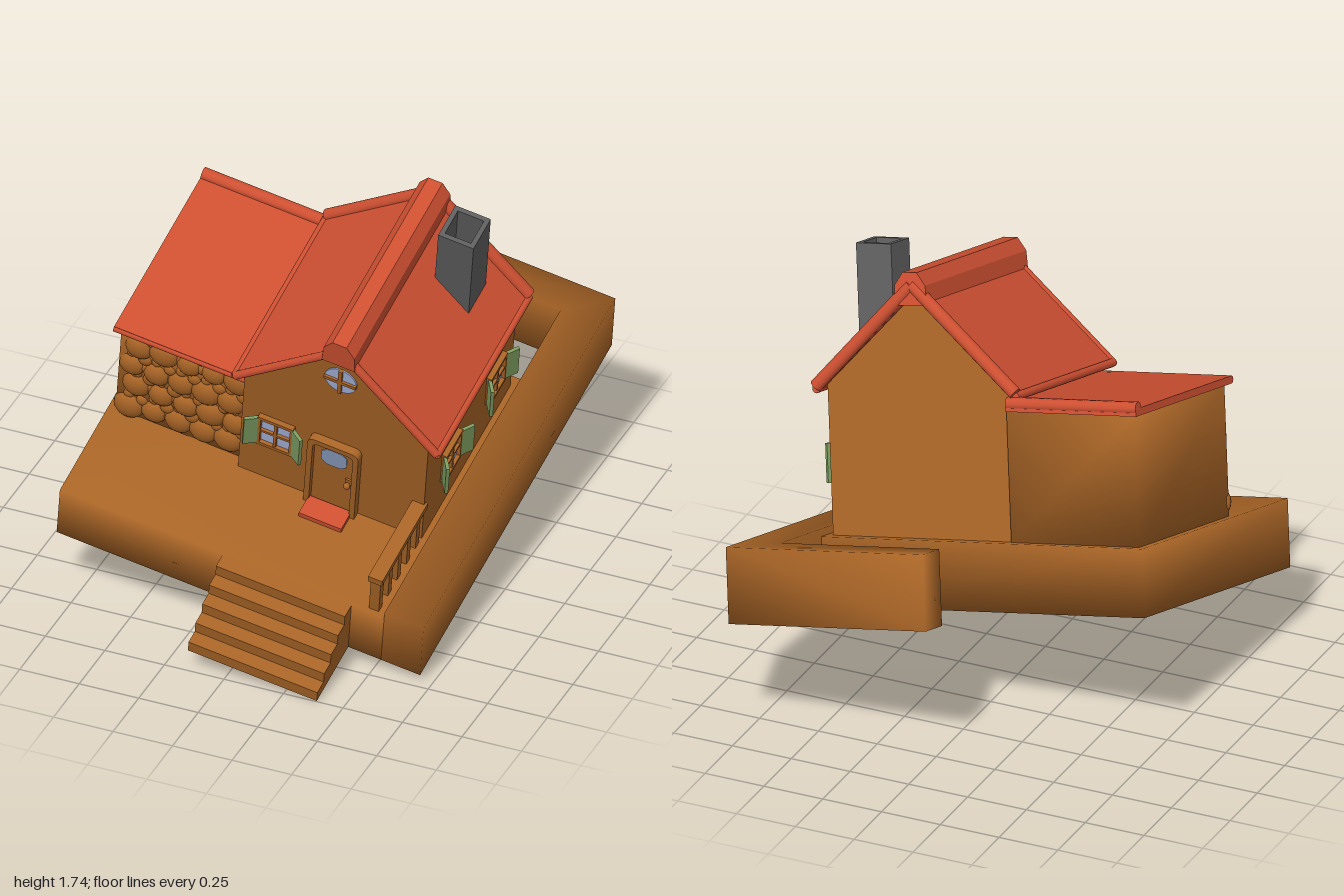
import * as THREE from 'three';
import { mergeVertices } from 'three/addons/utils/BufferGeometryUtils.js';

const mat = (name, color, side = THREE.FrontSide) =>
  Object.assign(new THREE.MeshStandardMaterial({ color, side }), { name });

export function createModel() {
  const wood = mat('brown', 0xa86426);
  const red = mat('roofRed', 0xcf5032);
  const grey = mat('chimneyGrey', 0x5e5e5e);
  const green = mat('shutterGreen', 0x7d9c60);
  const glass = mat('glass', 0xa6b5dd);
  const doorGlass = mat('doorGlass', 0x8a9cbe);

  const root = new THREE.Group();
  root.name = 'cottage';
  // The whole cottage is tipped forwards and to one side
  const X = new THREE.Vector3(0.984, -0.175, -0.011).normalize();
  const Z = new THREE.Vector3(-0.034, -0.28, 0.959);
  Z.addScaledVector(X, -Z.dot(X)).normalize();
  const Y = new THREE.Vector3().crossVectors(Z, X);
  const house = new THREE.Group();
  house.name = 'tippedCottage';
  house.quaternion.setFromRotationMatrix(new THREE.Matrix4().makeBasis(X, Y, Z));
  house.position.set(0.0595, 0.328, 0.098);
  root.add(house);

  // Helpers
  const add = (name, geo, material, x = 0, y = 0, z = 0, parent = house) => {
    const m = new THREE.Mesh(geo, material);
    m.name = name;
    m.position.set(x, y, z);
    parent.add(m);
    return m;
  };
  const soft = (g) => {
    g.deleteAttribute('normal');
    g.deleteAttribute('uv');
    const s = mergeVertices(g, 1e-4);
    s.computeVertexNormals();
    return s;
  };
  const box = (name, material, x0, x1, y0, y1, z0, z1, smooth = false, parent = house) => {
    const g = new THREE.BoxGeometry(x1 - x0, y1 - y0, z1 - z0);
    return add(name, smooth ? soft(g) : g, material, (x0 + x1) / 2, (y0 + y1) / 2, (z0 + z1) / 2, parent);
  };
  const shapeOf = (pts) => new THREE.Shape(pts.map((p) => new THREE.Vector2(...p)));
  const extrude = (shape, depth) => new THREE.ExtrudeGeometry(shape, { depth, bevelEnabled: false, curveSegments: 6 });
  const roll = (name, a, b, r, material = red) => {
    const A = new THREE.Vector3(...a), B = new THREE.Vector3(...b), d = B.clone().sub(A);
    const m = add(name, new THREE.CylinderGeometry(r, r, d.length(), 10), material, ...A.clone().add(B).multiplyScalar(0.5).toArray());
    m.quaternion.setFromUnitVectors(new THREE.Vector3(0, 1, 0), d.normalize());
  };

  // Ground slab and the L-shaped bank that runs round the back
  const deck = 0.27;
  box('platform', wood, -0.867, 0.51, 0, deck, -0.633, 0.648, true);
  const bank = soft(extrude(shapeOf([[0.51, -0.648], [0.676, -0.648], [0.676, 1.13], [-0.17, 1.13], [-0.17, 0.985], [0.51, 0.985]]), 0.3));
  add('bank', bank, wood).rotation.x = -Math.PI / 2;

  // Front steps
  const stair = [[-0.64, 0]];
  const n = 5;
  for (let i = 0; i < n; i++) {
    const z = -0.94 + (i * 0.29) / n;
    stair.push([z, (i * 0.265) / n], [z, ((i + 1) * 0.265) / n]);
  }
  stair.push([-0.64, 0.265]);
  const steps = shapeOf(stair.filter((p, i) => i !== 1 || p[1] === 0));
  add('steps', extrude(steps, 0.547), wood, -0.176).rotation.y = Math.PI / 2;

  // Main house with gable, and the lower wing
  const cx = 0.093;
  add('mainWalls', extrude(shapeOf([[-0.3, deck], [0.48, deck], [0.48, 0.86], [cx, 1.225], [-0.3, 0.86]]), 0.825), wood, 0, 0, -0.59);
  box('wingWalls', wood, -0.84, -0.29, deck, 0.79, -0.6, 0.19, true);

  // Rounded stones covering the wing front
  let seed = 7;
  const rnd = () => (seed = (seed * 16807) % 2147483647) / 2147483647;
  const ball = new THREE.SphereGeometry(1, 14, 10);
  const stones = new THREE.Group();
  stones.name = 'stoneWall';
  house.add(stones);
  const stone = (x, y, r) => add('stone', ball, wood, x, y, 0.19, stones).scale.set(r, r, r * 0.6);
  for (let row = 0; row < 4; row++) {
    for (let i = 0; i < 5; i++) {
      const x = -0.785 + i * 0.105 + (row % 2) * 0.025, y = 0.325 + row * 0.125 + rnd() * 0.03;
      stone(x, y, 0.048 + rnd() * 0.018);
      stone(x + 0.052, y + 0.055, 0.022 + rnd() * 0.01);
      stone(x + 0.055, y + 0.005, 0.017 + rnd() * 0.008);
      stone(x - 0.005, y + 0.068, 0.016 + rnd() * 0.008);
    }
  }

  // Main roof with rolled edges and ridge cap
  const zb = -0.61, zf = 0.25, xl = -0.335, xr = 0.52, ye = 0.855, yr = 1.265;
  add('mainRoof', extrude(shapeOf([[xl, ye], [xl, ye - 0.03], [cx, yr - 0.035], [xr, ye - 0.03], [xr, ye], [cx, yr]]), zf - zb), red, 0, 0, zb);
  for (const x of [xl, xr]) {
    roll('eaveRoll', [x, ye - 0.012, zb], [x, ye - 0.012, zf], 0.017);
    roll('backEdgeRoll', [x, ye, zb], [cx, yr, zb], 0.026);
    roll('frontEdgeRoll', [x, ye - 0.012, zf - 0.005], [cx, yr - 0.012, zf - 0.005], 0.017);
  }
  const cap = [[-0.07, -0.08], [0.07, -0.08], [0.065, 0], [0.03, 0.05], [-0.03, 0.05], [-0.065, 0]];
  add('ridgeCap', extrude(shapeOf(cap), zf - zb + 0.03), red, cx, yr, zb - 0.015);

  // Flat wing roof
  box('wingRoof', red, -0.86, -0.3, 0.785, 0.815, -0.626, 0.22);
  roll('wingBackRoll', [-0.86, 0.815, -0.605], [-0.3, 0.815, -0.605], 0.026);
  roll('wingFrontRoll', [-0.86, 0.8, 0.215], [-0.3, 0.8, 0.215], 0.014);

  // Hollow chimney
  const stack = shapeOf([[-0.075, -0.08], [0.075, -0.08], [0.075, 0.08], [-0.075, 0.08]]);
  stack.holes.push(new THREE.Path([[-0.055, -0.06], [-0.055, 0.06], [0.055, 0.06], [0.055, -0.06]].map((p) => new THREE.Vector2(...p))));
  add('chimney', extrude(stack, 0.45), grey, 0.31, 0.95, -0.41).rotation.x = -Math.PI / 2;

  // Shuttered windows
  const shutteredWindow = (x, y, z, turn) => {
    const g = new THREE.Group();
    g.name = 'window';
    g.position.set(x, y, z);
    g.rotation.y = turn;
    house.add(g);
    box('pane', glass, -0.065, 0.065, -0.075, 0.075, 0, 0.006, false, g);
    box('mullion', wood, -0.006, 0.006, -0.075, 0.075, 0, 0.018, false, g);
    box('transom', wood, -0.065, 0.065, -0.006, 0.006, 0, 0.018, false, g);
    for (const s of [-1, 1]) {
      box('frameRail', wood, -0.075, 0.075, s * 0.077 - 0.008, s * 0.077 + 0.008, 0, 0.022, false, g);
      box('frameStile', wood, s * 0.068 - 0.006, s * 0.068 + 0.006, -0.075, 0.075, 0, 0.022, false, g);
      const shutter = add('shutter', new THREE.BoxGeometry(0.062, 0.155, 0.014), green, s * 0.096, 0, 0.03, g);
      shutter.rotation.y = -s * 0.6;
    }
  };
  const wallZ = 0.235;
  shutteredWindow(-0.15, 0.572, wallZ, 0);
  shutteredWindow(0.48, 0.54, 0.01, Math.PI / 2);
  shutteredWindow(0.48, 0.54, -0.405, Math.PI / 2);

  // Round gable window
  add('roundPane', new THREE.CylinderGeometry(0.068, 0.068, 0.008, 24), glass, 0.099, 1.06, wallZ + 0.002).rotation.x = Math.PI / 2;
  box('roundMullion', wood, 0.091, 0.107, 0.992, 1.128, wallZ, wallZ + 0.016);
  box('roundTransom', wood, 0.031, 0.167, 1.052, 1.068, wallZ, wallZ + 0.016);

  // Door with arched-corner frame
  const arch = (Cls, w, h, r) => {
    const s = new Cls();
    s.moveTo(-w, 0);
    s.lineTo(w, 0);
    s.lineTo(w, h - r);
    s.quadraticCurveTo(w, h, w - r, h);
    s.lineTo(-w + r, h);
    s.quadraticCurveTo(-w, h, -w, h - r);
    s.closePath();
    return s;
  };
  const frame = arch(THREE.Shape, 0.108, 0.4, 0.035);
  frame.holes.push(arch(THREE.Path, 0.085, 0.375, 0.025));
  add('doorFrame', extrude(frame, 0.035), wood, 0.1, deck, wallZ);
  add('door', extrude(arch(THREE.Shape, 0.086, 0.376, 0.025), 0.012), wood, 0.1, deck, wallZ);
  const pane = new THREE.Shape();
  pane.absellipse(0, 0, 0.054, 0.047, 0, Math.PI * 2);
  const squircle = new THREE.Shape(pane.getPoints(6).map((p) => {
    const k = Math.pow(Math.pow(p.x / 0.054, 4) + Math.pow(p.y / 0.047, 4), -0.25);
    return p.multiplyScalar(k);
  }));
  add('doorPane', extrude(squircle, 0.004), doorGlass, 0.1, 0.57, wallZ + 0.012);
  box('knobPlate', wood, 0.155, 0.179, 0.435, 0.48, wallZ, wallZ + 0.02);
  add('knob', new THREE.SphereGeometry(0.014, 12, 8), wood, 0.167, 0.457, wallZ + 0.032);

  // Door mat
  box('doorMat', red, 0.01, 0.19, deck, deck + 0.022, 0.255, 0.35);

  // Porch railing
  box('handrail', wood, 0.43, 0.49, 0.455, 0.485, 0.22, 0.645);
  for (let i = 0; i < 5; i++) {
    const z = 0.615 - i * 0.085;
    box('baluster', wood, 0.437, 0.479, deck, 0.457, z - 0.016, z + 0.016);
  }
  return root;
}
